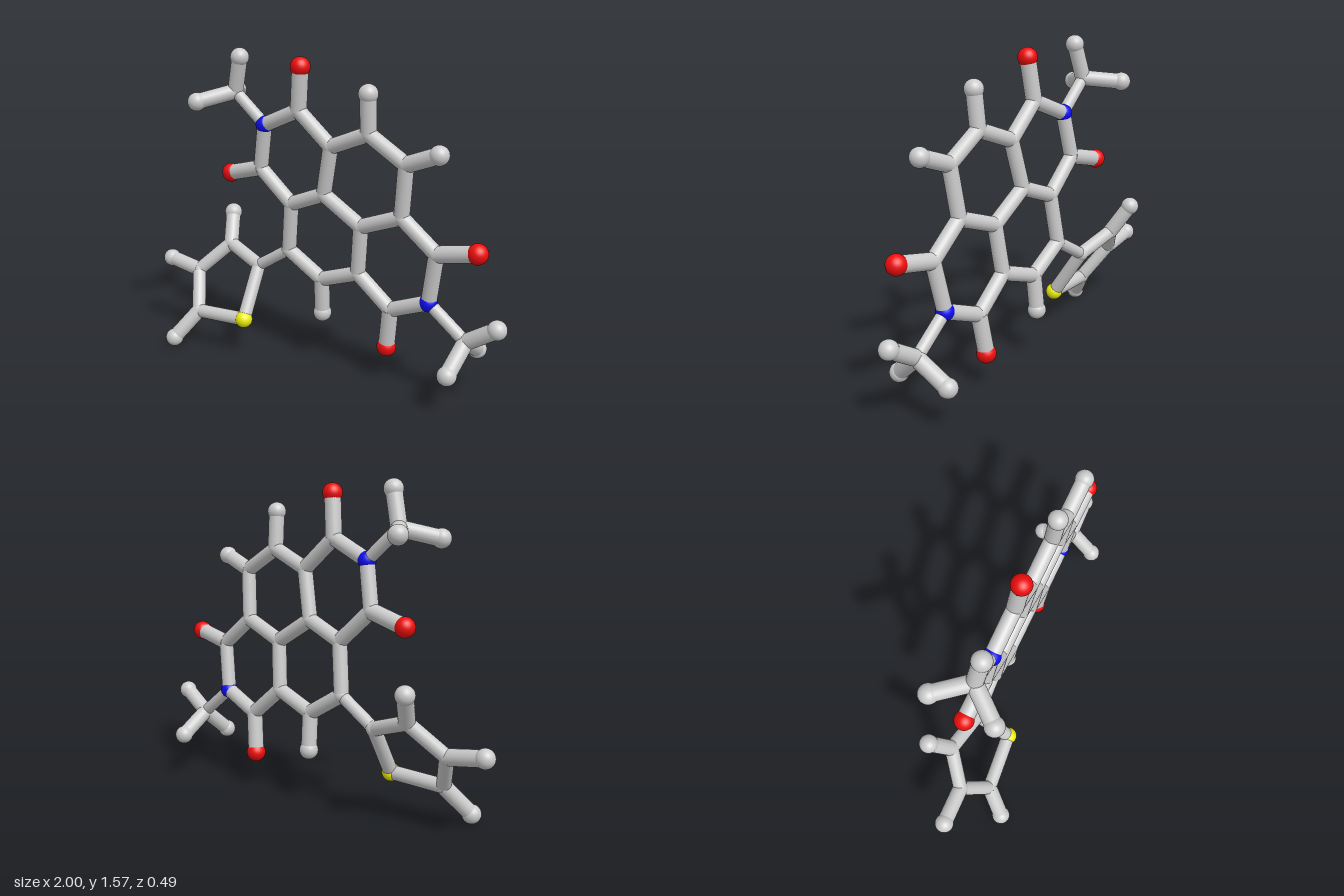
import * as THREE from 'three';

// The fused ring core is flat: z follows from x and y on a slightly tilted plane.
const coreZ = (x, y) => -0.092 + 0.07 * x + 0.086 * y;

// Atoms: [x, y, z]; a missing z means the atom lies in the core plane.
const atoms = {
  // fused rings
  N1: [-0.305, 1.205], Ca: [-0.09, 1.297], Cb: [0.09, 1.142], Cc: [0.305, 1.227],
  Cd: [0.5, 1.11], Ce: [0.472, 0.858], Cf: [0.246, 0.773], Cg: [0.037, 0.9],
  Ch: [-0.166, 0.82], Ci: [-0.348, 0.98], Cj: [0.652, 0.714], N2: [0.61, 0.468],
  Ck: [0.4, 0.382], Cl: [0.22, 0.53], Cm: [0, 0.452], Cn: [-0.198, 0.57],
  // oxygens and hydrogens on the core
  Oa: [-0.065, 1.505], Oi: [-0.55, 0.928], Oj: [0.856, 0.757], Ok: [0.374, 0.18],
  Hc: [0.31, 1.41], Hd: [0.668, 1.174], Hm: [-0.005, 0.27],
  // upper left methyl
  Cp: [-0.48, 1.355], Hp1: [-0.433, 1.527, 0.012], Hp2: [-0.61, 1.31, 0.133], Hp3: [-0.59, 1.338, -0.168],
  // lower right methyl
  Cq: [0.8, 0.318], Hq1: [0.952, 0.414, 0.004], Hq2: [0.775, 0.198, 0.125], Hq3: [0.79, 0.222, -0.175],
  // five-sided side ring
  Cr: [-0.4, 0.447, -0.07], Cs: [-0.615, 0.52, -0.115], Ct: [-0.76, 0.372, -0.016],
  Cu: [-0.674, 0.19, 0.1], S: [-0.385, 0.2, 0.088],
  Hs: [-0.663, 0.666, -0.202], Ht: [-0.952, 0.404, -0.018], Hu: [-0.765, 0.052, 0.198],
};

// Bond groups: stick radius and pairs of atoms.
const bonds = [
  ['ringBond', 0.037, 'N1-Ca Ca-Cb Cb-Cc Cc-Cd Cd-Ce Ce-Cf Cf-Cg Cg-Cb Cg-Ch Ch-Ci Ci-N1 ' +
    'Ce-Cj Cj-N2 N2-Ck Ck-Cl Cl-Cf Cl-Cm Cm-Cn Cn-Ch'],
  ['oxygenBond', 0.04, 'Ca-Oa Ci-Oi Cj-Oj Ck-Ok'],
  ['hydrogenBond', 0.039, 'Cc-Hc Cd-Hd Cm-Hm Cs-Hs Ct-Ht Cu-Hu Cp-Hp1 Cp-Hp2 Cp-Hp3 Cq-Hq1 Cq-Hq2 Cq-Hq3'],
  ['linkBond', 0.03, 'N1-Cp N2-Cq Cn-Cr'],
  ['sideRingBond', 0.035, 'Cr-Cs Cs-Ct Ct-Cu Cu-S S-Cr'],
];

// Atom kinds by first letter: name, radius, color.
const kinds = {
  C: ['carbonJoint', 0.038, 0xcccccc],
  H: ['hydrogenBall', 0.046, 0xcccccc],
  O: ['oxygenBall', 0.048, 0xee0d0d],
  N: ['nitrogenBall', 0.044, 0x0d0dee],
  S: ['sulfurBall', 0.044, 0xeeee0d],
};

export function createModel() {
  const model = new THREE.Group();
  model.name = 'molecule';
  const grey = new THREE.MeshStandardMaterial({ color: 0xcccccc });
  const position = {};

  // Balls, with carbon joints rounding off the stick corners
  const balls = {};
  for (const [k, [name, radius, color]] of Object.entries(kinds)) {
    balls[k] = {
      name,
      geometry: new THREE.SphereGeometry(radius, 28, 18),
      material: color === 0xcccccc ? grey : new THREE.MeshStandardMaterial({ color }),
    };
  }
  for (const [id, [x, y, z = coreZ(x, y)]] of Object.entries(atoms)) {
    position[id] = new THREE.Vector3(x, y, z);
    const { name, geometry, material } = balls[id[0]];
    const ball = new THREE.Mesh(geometry, material);
    ball.name = name;
    ball.position.copy(position[id]);
    model.add(ball);
  }

  // Sticks from atom to atom
  const up = new THREE.Vector3(0, 1, 0);
  for (const [name, radius, pairs] of bonds) {
    for (const pair of pairs.split(' ')) {
      const [a, b] = pair.split('-').map((id) => position[id]);
      const along = b.clone().sub(a);
      const stick = new THREE.Mesh(new THREE.CylinderGeometry(radius, radius, along.length(), 24), grey);
      stick.name = name;
      stick.position.copy(a).add(b).multiplyScalar(0.5);
      stick.quaternion.setFromUnitVectors(up, along.normalize());
      model.add(stick);
    }
  }
  return model;
}
